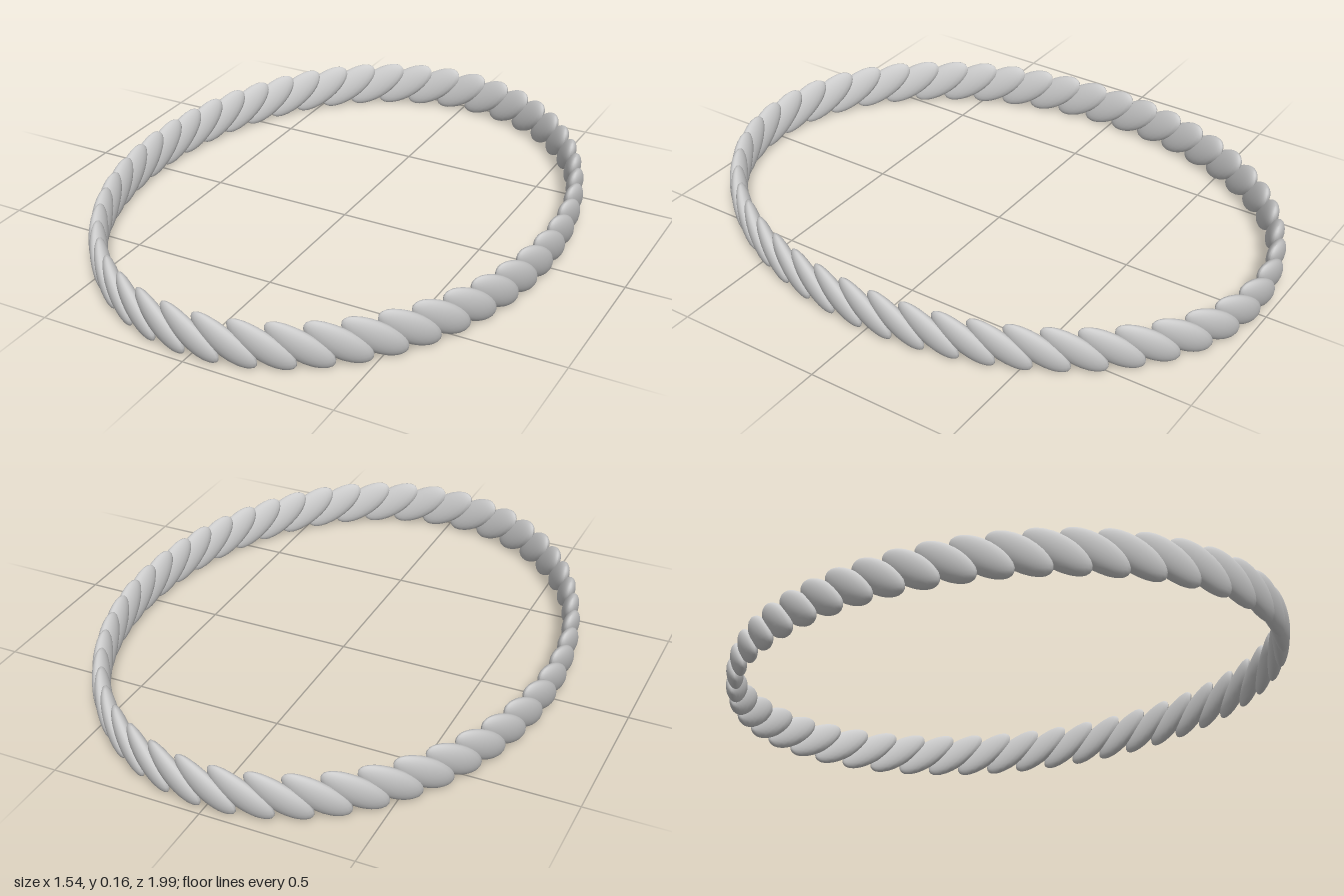
import * as THREE from 'three';

const COUNT = 48;          // strands around the ring
const RX = 0.742, RZ = 0.966; // centreline half-axes
const HALF_H = 0.081, MID_Y = 0.0825;
const HALF_W = 0.076, HALF_T = 0.028;
const LEAN = 0.07, TILT = 0.012;

// Evenly spaced stations along the oval centreline, as [angle] by arc length
function ovalAngles(count) {
  const steps = 2400, lengths = [0];
  for (let i = 1; i <= steps; i++) {
    const a = ((i - 0.5) / steps) * Math.PI * 2;
    lengths.push(lengths[i - 1] + Math.hypot(RX * Math.cos(a), RZ * Math.sin(a)) * Math.PI * 2 / steps);
  }
  const angles = [];
  for (let i = 0, k = 0; i < count; i++) {
    while (lengths[k] < (lengths[steps] * i) / count) k++;
    angles.push((k / steps) * Math.PI * 2);
  }
  return angles;
}

// One leaning strand: a rounded lobe sheared along the ring, bent to follow the oval
function strandGeometry(angle) {
  const geo = new THREE.SphereGeometry(1, 18, 14);
  const pos = geo.attributes.position;
  const speed = Math.hypot(RX * Math.cos(angle), RZ * Math.sin(angle));
  for (let i = 0; i < pos.count; i++) {
    const u = pos.getX(i), t = pos.getY(i), r = pos.getZ(i);
    const along = u * HALF_W - LEAN * t;
    // one edge rides outward, the other tucks under its neighbour
    const out = r * HALF_T + u * TILT;
    const a = angle + along / speed;
    const normal = new THREE.Vector2(Math.sin(a) / RX, Math.cos(a) / RZ).normalize();
    pos.setXYZ(i,
      RX * Math.sin(a) + normal.x * out,
      MID_Y + t * HALF_H,
      RZ * Math.cos(a) + normal.y * out);
  }
  geo.computeVertexNormals();
  return geo;
}

export function createModel() {
  const group = new THREE.Group();
  group.name = 'twistedRing';
  const material = new THREE.MeshStandardMaterial({ color: 0xcccccc });

  // Overlapping strands around the whole oval
  for (const angle of ovalAngles(COUNT)) {
    const strand = new THREE.Mesh(strandGeometry(angle), material);
    strand.name = 'ropeStrand';
    group.add(strand);
  }
  return group;
}
